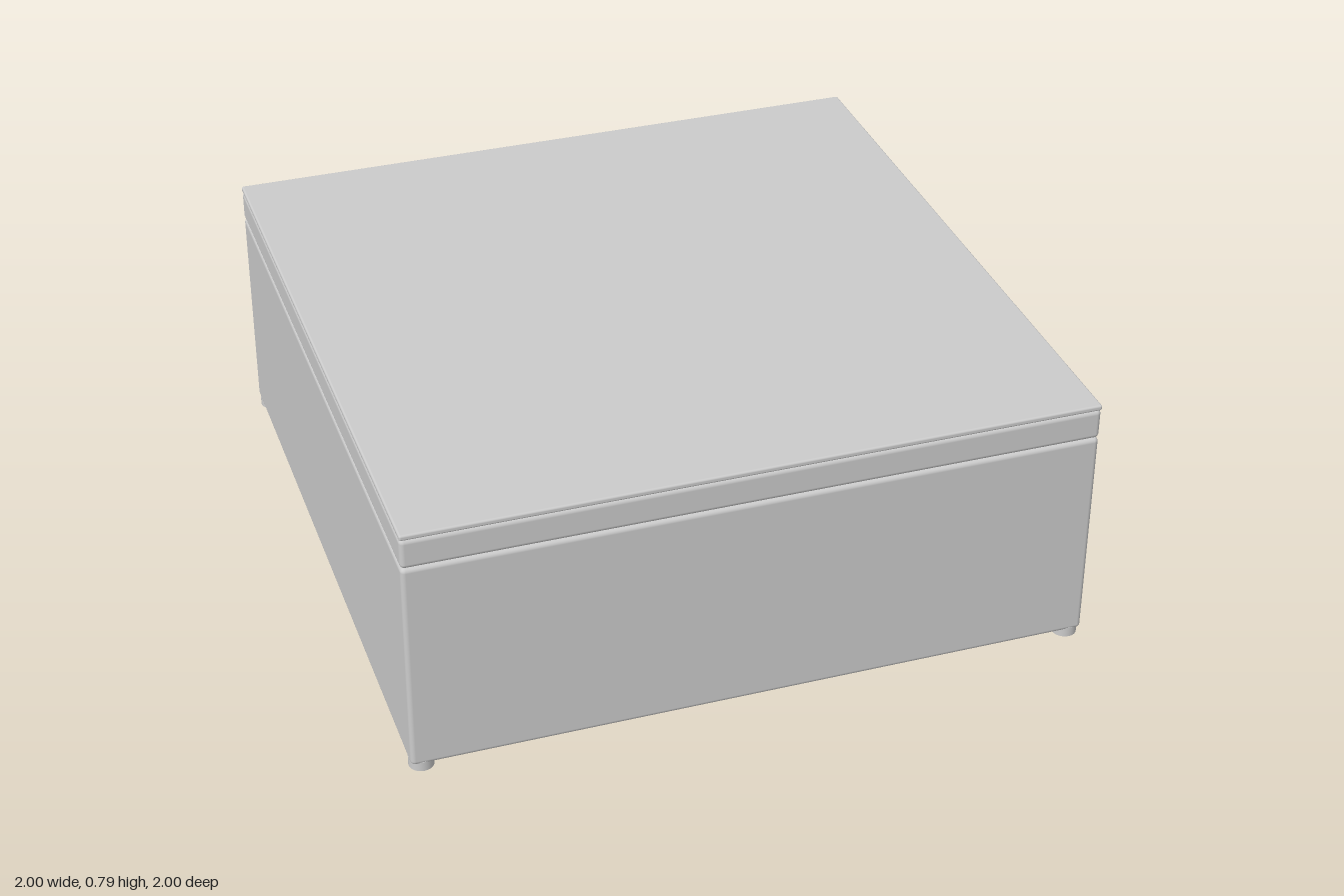
import * as THREE from 'three';
import { RoundedBoxGeometry } from 'three/addons/geometries/RoundedBoxGeometry.js';

const material = new THREE.MeshStandardMaterial({ color: 0xcccccc });

// Square softened slab spanning y0 to y1
function slab(name, y0, y1, radius) {
  const mesh = new THREE.Mesh(new RoundedBoxGeometry(2, y1 - y0, 2, 3, radius), material);
  mesh.name = name;
  mesh.position.y = (y0 + y1) / 2;
  return mesh;
}

export function createModel() {
  const model = new THREE.Group();
  model.name = 'ottoman';

  // Base, cushion band and thin top panel, stacked
  model.add(
    slab('base', 0.022, 0.68, 0.014),
    slab('cushion', 0.68, 0.772, 0.014),
    slab('topPanel', 0.771, 0.788, 0.006),
  );

  // Short round feet at the four corners
  const footRadius = 0.036;
  const footGeometry = new THREE.CylinderGeometry(footRadius, footRadius, 0.03, 32);
  for (const x of [-1, 1]) {
    for (const z of [-1, 1]) {
      const foot = new THREE.Mesh(footGeometry, material);
      foot.name = `${z > 0 ? 'front' : 'back'}${x > 0 ? 'Left' : 'Right'}Foot`;
      foot.position.set(x * (1 - footRadius), 0.015, z * (1 - footRadius));
      model.add(foot);
    }
  }
  return model;
}
